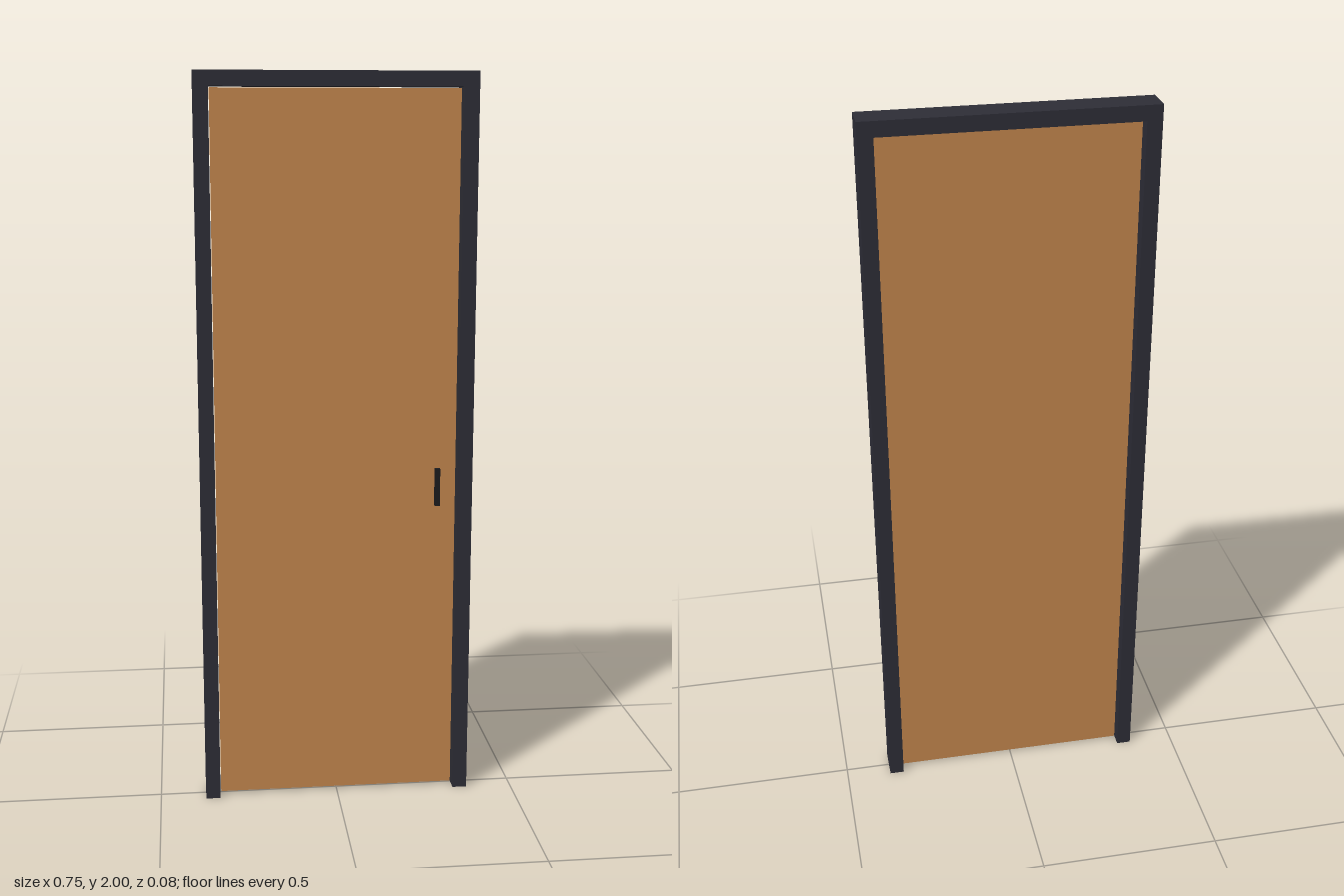
import * as THREE from 'three';

export function createModel() {
  const frameColour = new THREE.MeshStandardMaterial({ color: 0x2e2e37 });
  frameColour.name = 'charcoal frame';
  const woodColour = new THREE.MeshStandardMaterial({ color: 0xc4874e });
  woodColour.name = 'warm wood';
  const handleColour = new THREE.MeshStandardMaterial({ color: 0x1b1b1e });
  handleColour.name = 'black metal';

  const W = 0.373, H = 2, D = 0.082, T = 0.04; // half width, height, depth, frame width
  const gap = 0.003, leafT = 0.028, sill = 0.008;

  const model = new THREE.Group();
  model.name = 'door';
  const box = (name, material, size, pos) => {
    const mesh = new THREE.Mesh(new THREE.BoxGeometry(...size), material);
    mesh.name = name;
    mesh.position.set(...pos);
    model.add(mesh);
  };

  // Frame: two jambs with a header between them
  for (const side of [-1, 1]) {
    box(side > 0 ? 'leftJamb' : 'rightJamb', frameColour, [T, H, D], [side * (W - T / 2), H / 2, 0]);
  }
  box('header', frameColour, [2 * (W - T), T, D], [0, H - T / 2, 0]);

  // Door leaf, recessed on both sides with a narrow gap all round
  const top = H - T - gap;
  box('doorLeaf', woodColour, [2 * (W - T - gap), top - sill, leafT], [0, (top + sill) / 2, 0]);

  // Slim upright pull on the front
  box('handle', handleColour, [0.014, 0.105, 0.013], [0.279, 0.886, leafT / 2 + 0.0065]);

  return model;
}
